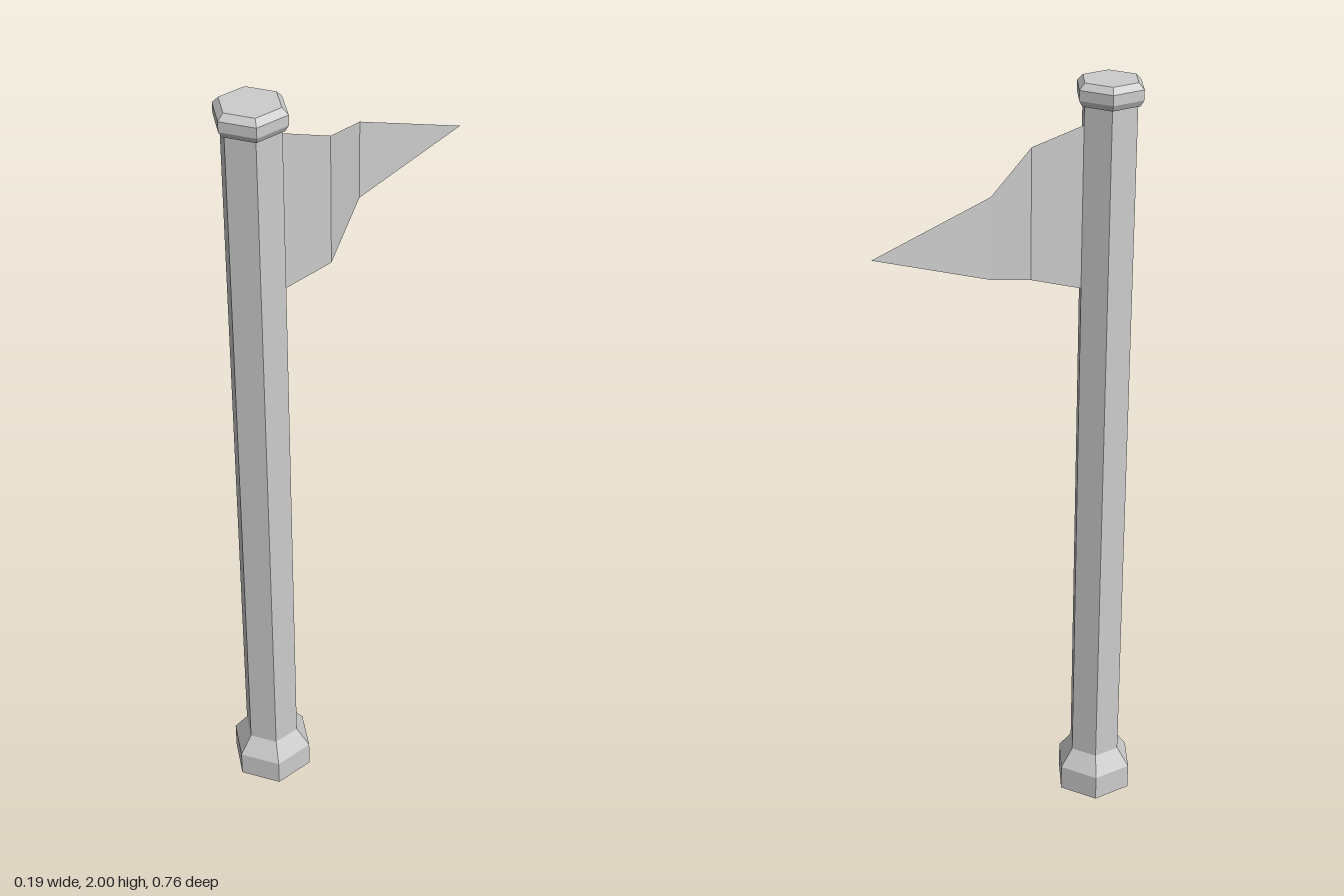
import * as THREE from 'three';

const POLE_Z = 0.274;

export function createModel() {
  const group = new THREE.Group();
  group.name = 'flagPole';
  const grey = new THREE.MeshStandardMaterial({ color: 0xcccccc, flatShading: true, side: THREE.DoubleSide });
  grey.name = 'grey';

  // Six-sided turned part from [radius, y] pairs, bottom to top
  const addHex = (name, profile) => {
    const points = profile.map(([r, y]) => new THREE.Vector2(r, y));
    const mesh = new THREE.Mesh(new THREE.LatheGeometry(points, 6), grey);
    mesh.name = name;
    mesh.position.z = POLE_Z;
    group.add(mesh);
  };

  addHex('base', [[0, 0], [0.107, 0], [0.107, 0.07], [0.072, 0.12]]);
  addHex('shaft', [[0.072, 0.12], [0.072, 1.95]]);
  addHex('cap', [[0.072, 1.945], [0.078, 1.945], [0.087, 1.96], [0.087, 1.985], [0.072, 2], [0, 2]]);

  // Waving pennant: cross-sections as [x, z, bottom y, top y], narrowing to a tip
  const sections = [
    [0, 0.202, 1.492, 1.9],
    [0.03, 0.077, 1.53, 1.86],
    [-0.06, -0.088, 1.597, 1.798],
    [-0.028, -0.38, 1.695, 1.695],
  ];
  const positions = [];
  const index = [];
  sections.forEach(([x, z, bottom, top], i) => {
    positions.push(x, bottom, z, x, top, z);
    if (i === 0) return;
    const a = 2 * i - 2;
    index.push(a, a + 2, a + 1);
    if (i < sections.length - 1) index.push(a + 1, a + 2, a + 3);
  });
  const flagGeometry = new THREE.BufferGeometry();
  flagGeometry.setAttribute('position', new THREE.Float32BufferAttribute(positions, 3));
  flagGeometry.setIndex(index);
  flagGeometry.computeVertexNormals();
  const flag = new THREE.Mesh(flagGeometry, grey);
  flag.name = 'pennant';
  group.add(flag);

  return group;
}
